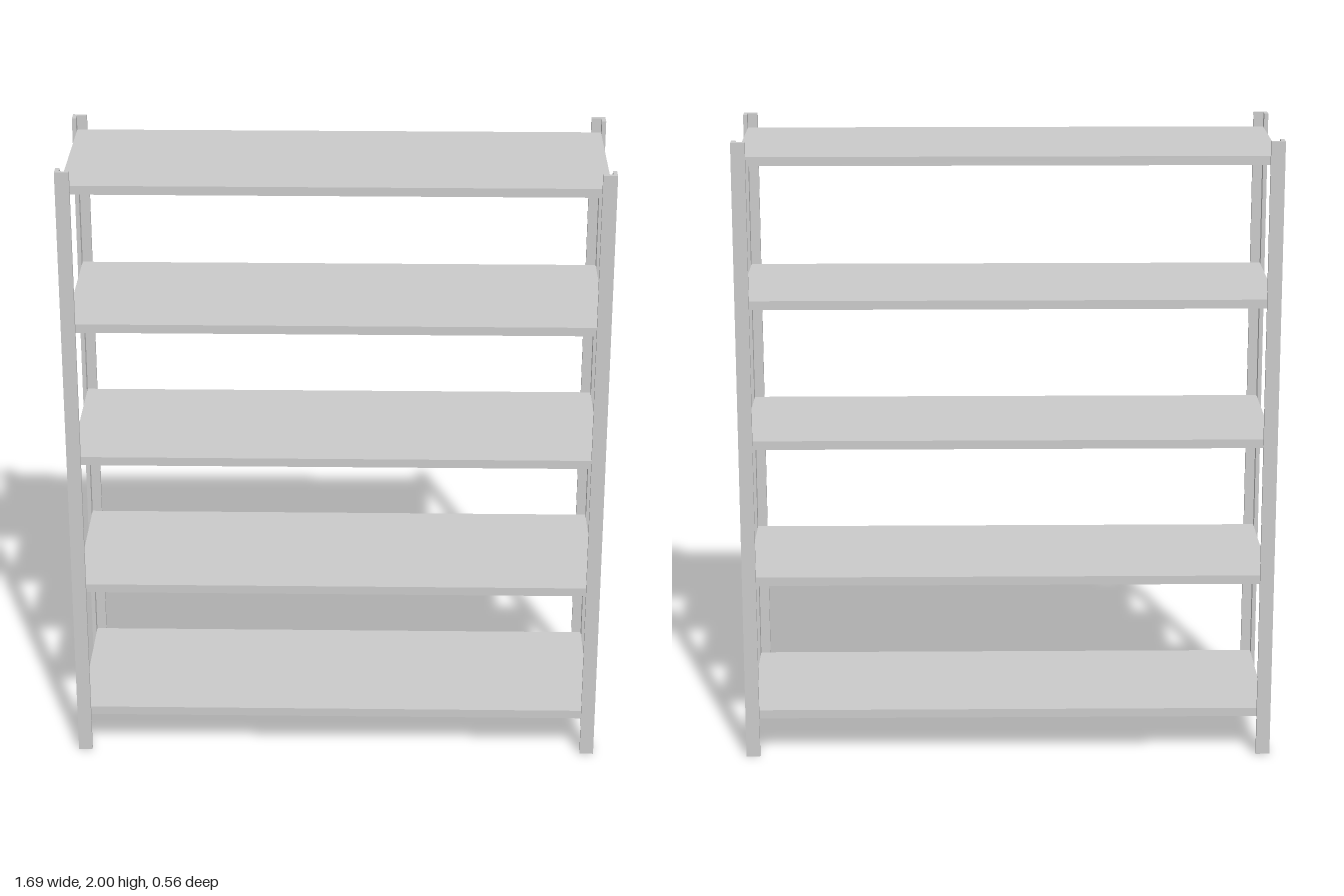
import * as THREE from 'three';

const HALF_X = 0.845, HALF_Z = 0.282, HEIGHT = 2;
const FLANGE = 0.044, WALL = 0.013;

export function createModel() {
  const group = new THREE.Group();
  group.name = 'shelvingUnit';
  const material = new THREE.MeshStandardMaterial({ color: 0xcccccc, flatShading: true });

  // L-section corner posts, outer corner outward, one per corner
  for (const [sx, sz, name] of [
    [1, 1, 'frontLeftPost'], [-1, 1, 'frontRightPost'],
    [1, -1, 'backLeftPost'], [-1, -1, 'backRightPost'],
  ]) {
    const section = [
      [0, 0], [FLANGE, 0], [FLANGE, WALL], [WALL, WALL], [WALL, FLANGE], [0, FLANGE],
    ].map(([a, b]) => new THREE.Vector2(sx * (HALF_X - a), -sz * (HALF_Z - b)));
    const geometry = new THREE.ExtrudeGeometry(new THREE.Shape(section), {
      depth: HEIGHT, bevelEnabled: false,
    });
    geometry.rotateX(-Math.PI / 2); // stand the extrusion upright
    const post = new THREE.Mesh(geometry, material);
    post.name = name;
    group.add(post);
  }

  // Five evenly spaced shelves seated inside the posts
  const shelfGeometry = new THREE.BoxGeometry(2 * (HALF_X - WALL), 0.028, 2 * (HALF_Z - WALL));
  for (let i = 0; i < 5; i++) {
    const shelf = new THREE.Mesh(shelfGeometry, material);
    shelf.name = `shelf${i + 1}`;
    shelf.position.y = 0.14 + i * 0.45;
    group.add(shelf);
  }
  return group;
}
